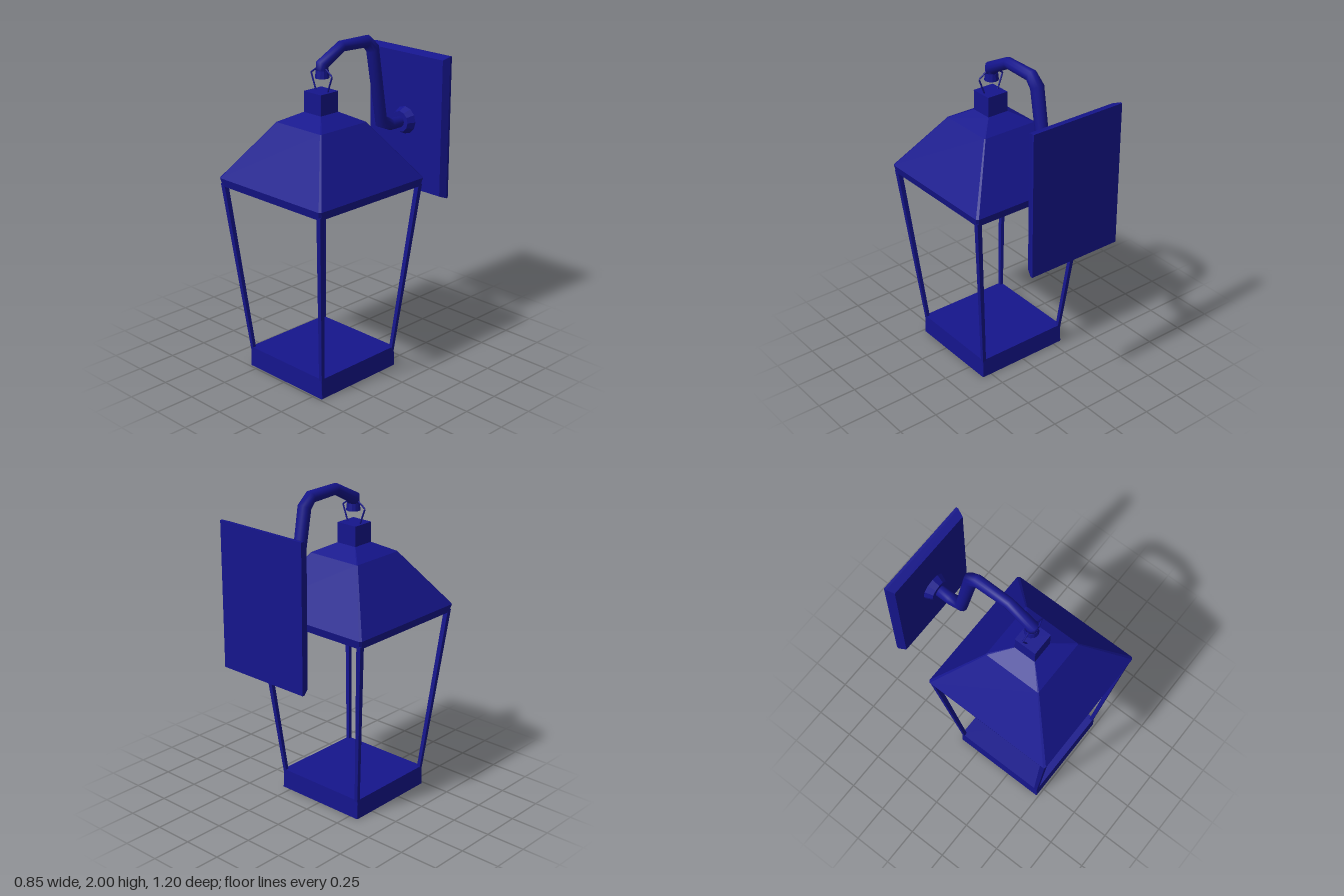
import * as THREE from 'three';
import { mergeVertices } from 'three/addons/utils/BufferGeometryUtils.js';

const V = (x, y, z) => new THREE.Vector3(x, y, z);
const CZ = 0.175; // lantern centre in z

const flat = new THREE.MeshStandardMaterial({ color: 0x15158c, flatShading: true });
const smooth = new THREE.MeshStandardMaterial({ color: 0x15158c });

// Skin a stack of equal-sized rings and cap both ends
function loft(rings) {
  const pos = [];
  const tri = (a, b, c) => { for (const p of [a, b, c]) pos.push(p.x, p.y, p.z); };
  const n = rings[0].length;
  for (let r = 0; r < rings.length - 1; r++) {
    for (let i = 0; i < n; i++) {
      const j = (i + 1) % n;
      const a = rings[r][i], b = rings[r][j], c = rings[r + 1][j], d = rings[r + 1][i];
      tri(a, b, c);
      tri(a, c, d);
    }
  }
  const end = rings[rings.length - 1];
  for (let i = 1; i < n - 1; i++) {
    tri(rings[0][0], rings[0][i + 1], rings[0][i]);
    tri(end[0], end[i], end[i + 1]);
  }
  const g = new THREE.BufferGeometry();
  g.setAttribute('position', new THREE.Float32BufferAttribute(pos, 3));
  g.computeVertexNormals();
  return g;
}

// Horizontal square ring with clipped corners
function squareRing(cx, y, cz, h, clip) {
  const k = h - clip;
  return [[h, k], [h, -k], [k, -h], [-k, -h], [-h, -k], [-h, k], [-k, h], [k, h]]
    .map(([x, z]) => V(cx + x, y, cz + z));
}

// Mitred round bar along a path in the yz plane; points are [z, y, radius]
function bentBar(path, sides) {
  const pts = path.map(([z, y]) => V(0, y, z));
  const X = V(1, 0, 0);
  const rings = pts.map((p, i) => {
    const before = p.clone().sub(pts[Math.max(i - 1, 0)]).normalize();
    const after = pts[Math.min(i + 1, pts.length - 1)].clone().sub(p).normalize();
    const t = before.clone().add(after).normalize();
    const across = t.clone().cross(X);
    const stretch = 1 / t.dot(after.lengthSq() ? after : before);
    const r = path[i][2];
    return Array.from({ length: sides }, (_, k) => {
      const a = (k / sides) * Math.PI * 2;
      return p.clone().addScaledVector(X, r * Math.cos(a))
        .addScaledVector(across, r * stretch * Math.sin(a));
    });
  });
  return loft(rings);
}

// Merge the joints of a bar so it shades smoothly
function softened(g) {
  g.deleteAttribute('normal');
  const m = mergeVertices(g, 1e-4);
  m.computeVertexNormals();
  return m;
}

export function createModel() {
  const model = new THREE.Group();
  model.name = 'wallLantern';
  const add = (name, geometry, material = flat, parent = model) => {
    const mesh = new THREE.Mesh(geometry, material);
    mesh.name = name;
    parent.add(mesh);
    return mesh;
  };

  // Wall plate with bevelled front edges
  const plateRing = (z, inset) => [[1, -1], [1, 1], [-1, 1], [-1, -1]]
    .map(([x, y]) => V(x * (0.31 - inset), 1.4125 + y * (0.4425 - inset), z));
  add('wallPlate', loft([plateRing(-0.6, 0), plateRing(-0.585, 0), plateRing(-0.54, 0.018)]));

  // Tapered boss where the arm meets the plate
  const boss = add('armBoss', new THREE.CylinderGeometry(0.065, 0.088, 0.05, 12));
  boss.rotation.x = Math.PI / 2;
  boss.position.set(0, 1.415, -0.517);

  // Gooseneck arm
  add('arm', softened(bentBar([
    [-0.5, 1.415, 0.036], [-0.41, 1.415, 0.036], [-0.328, 1.45, 0.037],
    [-0.247, 1.912, 0.04], [-0.195, 1.962, 0.036], [0.01, 1.967, 0.033],
    [0.165, 1.886, 0.036], [0.165, 1.85, 0.037]], 12)), smooth);

  // Flared tip of the arm
  add('armTip', new THREE.CylinderGeometry(0.038, 0.043, 0.045, 12)).position.set(0, 1.833, 0.165);

  // Wire hanger between the arm and the cap
  const hanger = new THREE.Group();
  hanger.name = 'hanger';
  model.add(hanger);
  const wire = [[-0.045, 1.725], [-0.085, 1.83], [-0.035, 1.865],
    [0.035, 1.865], [0.085, 1.83], [0.045, 1.725]].map(([x, y]) => V(x, y, 0.17));
  for (let i = 0; i < wire.length - 1; i++) {
    const seg = new THREE.LineCurve3(wire[i], wire[i + 1]);
    add('hangerWire', new THREE.TubeGeometry(seg, 1, 0.005, 6), smooth, hanger);
  }

  // Roof with rim, two slopes and a square cap: [y, half width, corner clip]
  const roof = [[1.165, 0.412, 0.012], [1.215, 0.423, 0.012], [1.552, 0.183, 0.006],
    [1.612, 0.07, 0.002], [1.735, 0.07, 0.002]];
  add('roof', loft(roof.map(([y, h, c]) => squareRing(0, y, CZ, h, c))));

  // Four corner posts leaning outward
  for (const sx of [-1, 1]) {
    for (const sz of [-1, 1]) {
      const ring = (y, outer, h) =>
        squareRing(sx * (outer - h), y, CZ + sz * (outer - h), h, 0.001);
      add('cornerPost', loft([ring(0.1, 0.308, 0.0115), ring(1.18, 0.415, 0.0155)]));
    }
  }

  // Base tray
  add('base', loft([squareRing(0, 0, CZ, 0.312, 0.004), squareRing(0, 0.125, CZ, 0.309, 0.004)]));

  return model;
}
